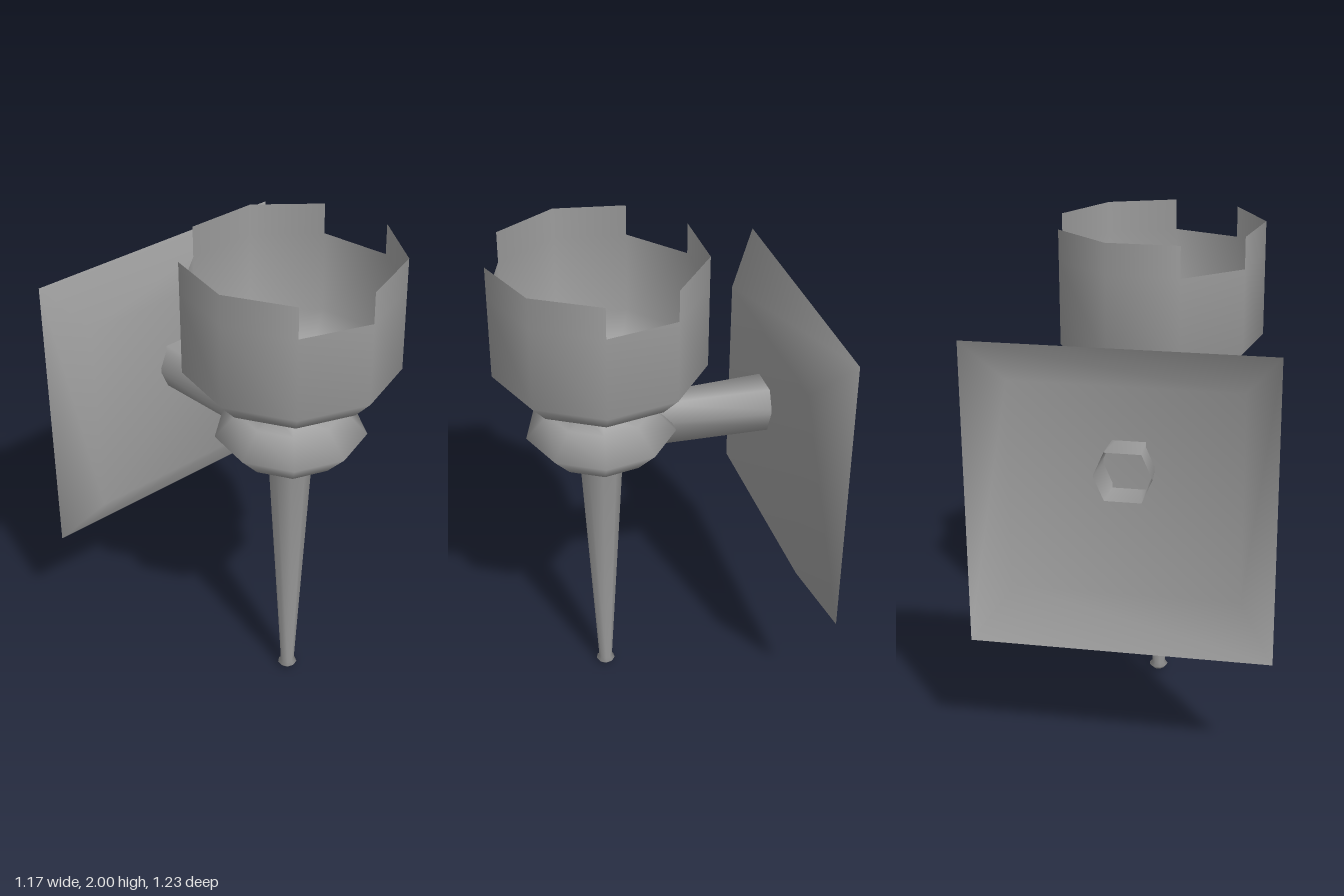
import * as THREE from 'three';
import { mergeGeometries, mergeVertices } from 'three/addons/utils/BufferGeometryUtils.js';

const SIDES = 9;
const AXIS_X = -0.016, AXIS_Z = 0.196; // vertical axis of the torch
const PLATE_Z = -0.487, WALL_Z = -0.618;
const ARM_Y = 1.235;
const BOWL_R = 0.419, NOTCH_Y = 1.875;

const material = new THREE.MeshStandardMaterial({ color: 0x9c9c9c, side: THREE.DoubleSide });

function addMesh(parent, name, geometry) {
  const mesh = new THREE.Mesh(geometry, material);
  mesh.name = name;
  parent.add(mesh);
}

// Smooth nine-sided turned part from [radius, y] pairs, bottom to top
function turned(profile, segments = SIDES, start = 0) {
  const points = profile.map(([r, y]) => new THREE.Vector2(r, y));
  const step = (Math.PI * 2) / SIDES;
  return new THREE.LatheGeometry(points, segments, start * step, segments * step);
}

// Open skin between two counter-clockwise xy outlines, back to front
function loft(back, backZ, front, frontZ) {
  const positions = [];
  back.forEach((_, i) => {
    const j = (i + 1) % back.length;
    const a = [...back[i], backZ], b = [...back[j], backZ];
    const c = [...front[j], frontZ], d = [...front[i], frontZ];
    positions.push(...a, ...b, ...c, ...a, ...c, ...d);
  });
  const geometry = new THREE.BufferGeometry();
  geometry.setAttribute('position', new THREE.Float32BufferAttribute(positions, 3));
  return geometry;
}

// Weld pieces that hold positions only and smooth them as one surface
function welded(...pieces) {
  const geometry = mergeVertices(mergeGeometries(pieces));
  geometry.computeVertexNormals();
  return geometry;
}

const rectangle = (w, h, y) => [[-w, y - h], [w, y - h], [w, y + h], [-w, y + h]];

const hexagon = (mid, flat, h) => [
  [mid, 0], [flat, h], [-flat, h], [-mid, 0], [-flat, -h], [flat, -h],
].map(([x, y]) => [x + AXIS_X, y + ARM_Y]);

export function createModel() {
  const model = new THREE.Group();
  model.name = 'wallTorch';

  const torch = new THREE.Group();
  torch.name = 'torch';
  torch.position.set(AXIS_X, 0, AXIS_Z);
  model.add(torch);

  // One hollow turned body, smooth from foot to bowl
  addMesh(torch, 'torchBody', turned([
    [0, 0], [0.024, 0.005], [0.04, 0.022], [0.028, 0.035], // foot knob
    [0.09, 1.14], [0.21, 1.14], [0.3, 1.235], [0.21, 1.33], [0.09, 1.33], // stem, collar
    [0.12, 1.44], [0.345, 1.46], [BOWL_R, 1.54], [BOWL_R, NOTCH_Y], // neck, bowl
  ]));

  // Three teeth, each two sides wide, around the rim
  for (let i = 0; i < 3; i++) {
    addMesh(torch, 'rimTooth', turned([[BOWL_R, NOTCH_Y], [BOWL_R, 2]], 2, i * 3));
  }

  // Hollow arm from behind the plate, narrowing toward the collar
  addMesh(model, 'arm', welded(
    loft(hexagon(0.111, 0.07, 0.095), WALL_Z, hexagon(0.042, 0.042, 0.095), -0.01)));

  // Wall plate: flat face with a bevelled rim, open at the back
  const outline = rectangle(0.445, 0.42, 1.12);
  const faceShape = new THREE.Shape(outline.map(([x, y]) => new THREE.Vector2(x, y)));
  const face = new THREE.ShapeGeometry(faceShape).translate(0, 0, PLATE_Z).toNonIndexed();
  face.deleteAttribute('uv');
  face.deleteAttribute('normal');
  const rim = loft(rectangle(0.585, 0.605, 1.12), WALL_Z, outline, PLATE_Z);
  addMesh(model, 'wallPlate', welded(face, rim));

  return model;
}
